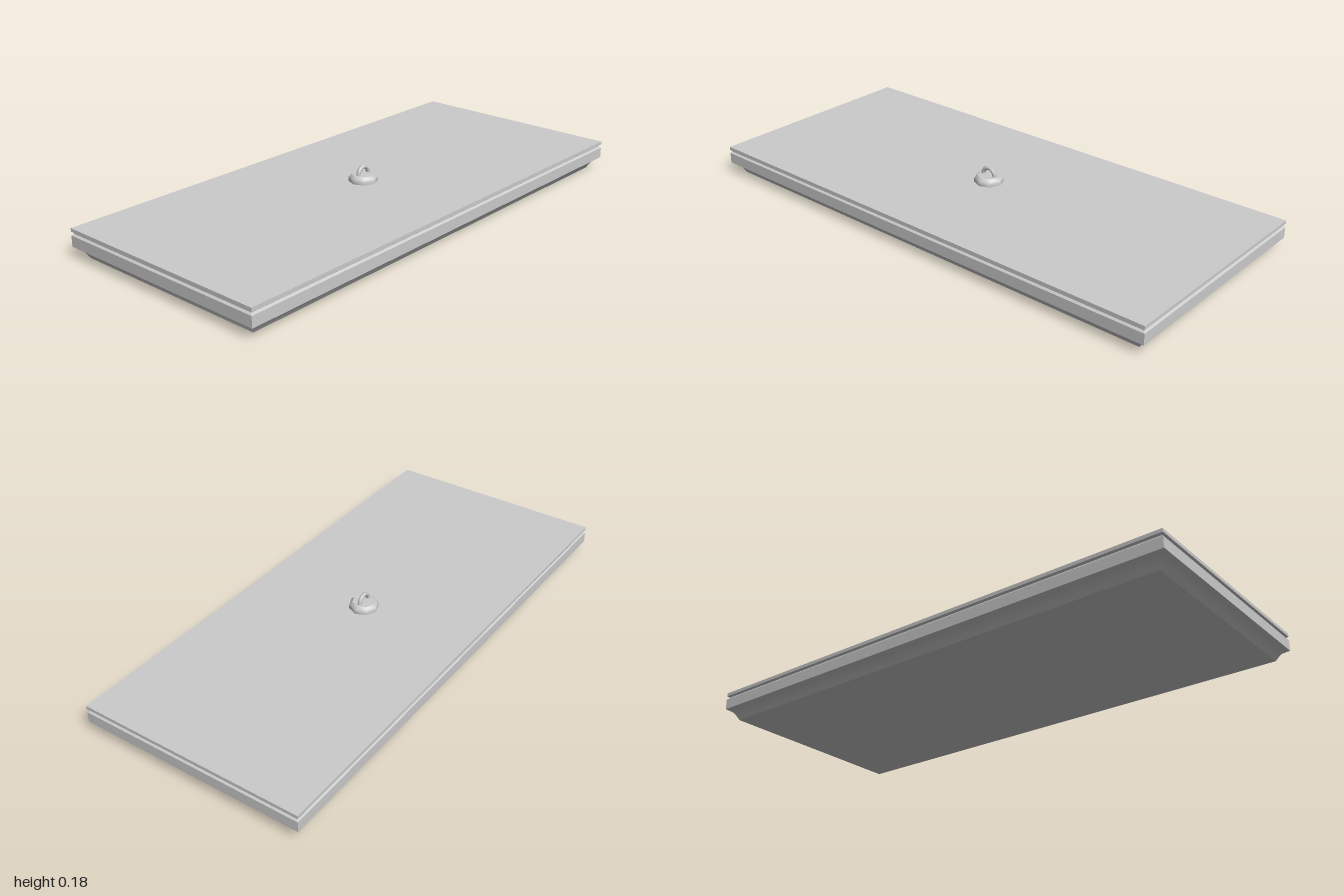
import * as THREE from 'three';
import { toCreasedNormals } from 'three/addons/utils/BufferGeometryUtils.js';

const HALF_W = 0.445, HALF_L = 1.0;
const CORNERS = [[1, 1], [1, -1], [-1, -1], [-1, 1]];

// Rectangular loft: each profile point is [inset from the outer edge, height]
function loft(profile, capped) {
  const pos = [], idx = [];
  for (const [inset, y] of profile)
    for (const [sx, sz] of CORNERS) pos.push(sx * (HALF_W - inset), y, sz * (HALF_L - inset));
  for (let i = 0; i < profile.length - 1; i++)
    for (let j = 0; j < 4; j++) {
      const a = i * 4 + j, b = i * 4 + (j + 1) % 4;
      idx.push(a, b, b + 4, a, b + 4, a + 4);
    }
  if (capped) {
    const t = (profile.length - 1) * 4;
    idx.push(t, t + 1, t + 2, t, t + 2, t + 3, 0, 2, 1, 0, 3, 2);
  }
  const geo = new THREE.BufferGeometry();
  geo.setAttribute('position', new THREE.Float32BufferAttribute(pos, 3));
  geo.setIndex(idx);
  geo.computeVertexNormals();
  return geo;
}

export function createModel() {
  const group = new THREE.Group();
  const mat = new THREE.MeshStandardMaterial({ color: 0xcccccc });
  const add = (name, geo) => {
    const mesh = new THREE.Mesh(geo, mat);
    mesh.name = name;
    group.add(mesh);
    return mesh;
  };

  // Smooth cove under the slab, and its flat underside
  add('coveMoulding', loft([[0.041, 0], [0.034, 0.013], [0.025, 0.028], [0.014, 0.036], [0, 0.044]], false));
  const under = new THREE.PlaneGeometry(2 * (HALF_W - 0.041), 2 * (HALF_L - 0.041));
  add('underside', under.rotateX(Math.PI / 2));

  // Slab with a V groove below the lid plate
  const slab = [[0, 0.044], [0, 0.086], [0.007, 0.092], [0.007, 0.095], [0, 0.1], [0, 0.113]];
  add('slabAndLid', toCreasedNormals(loft(slab, true), 0.3));

  // Eight-sided boss with a bevelled top
  const bossProfile = [[0.056, 0.113], [0.056, 0.129], [0.044, 0.141], [0, 0.141]]
    .map(([r, y]) => new THREE.Vector2(r, y));
  add('boss', toCreasedNormals(new THREE.LatheGeometry(bossProfile, 8), 0.8));

  // Half-ring lifting handle standing along z
  const ring = add('liftingRing', new THREE.TorusGeometry(0.027, 0.008, 8, 12, Math.PI));
  ring.rotation.y = Math.PI / 2;
  ring.position.y = 0.141;

  return group;
}
